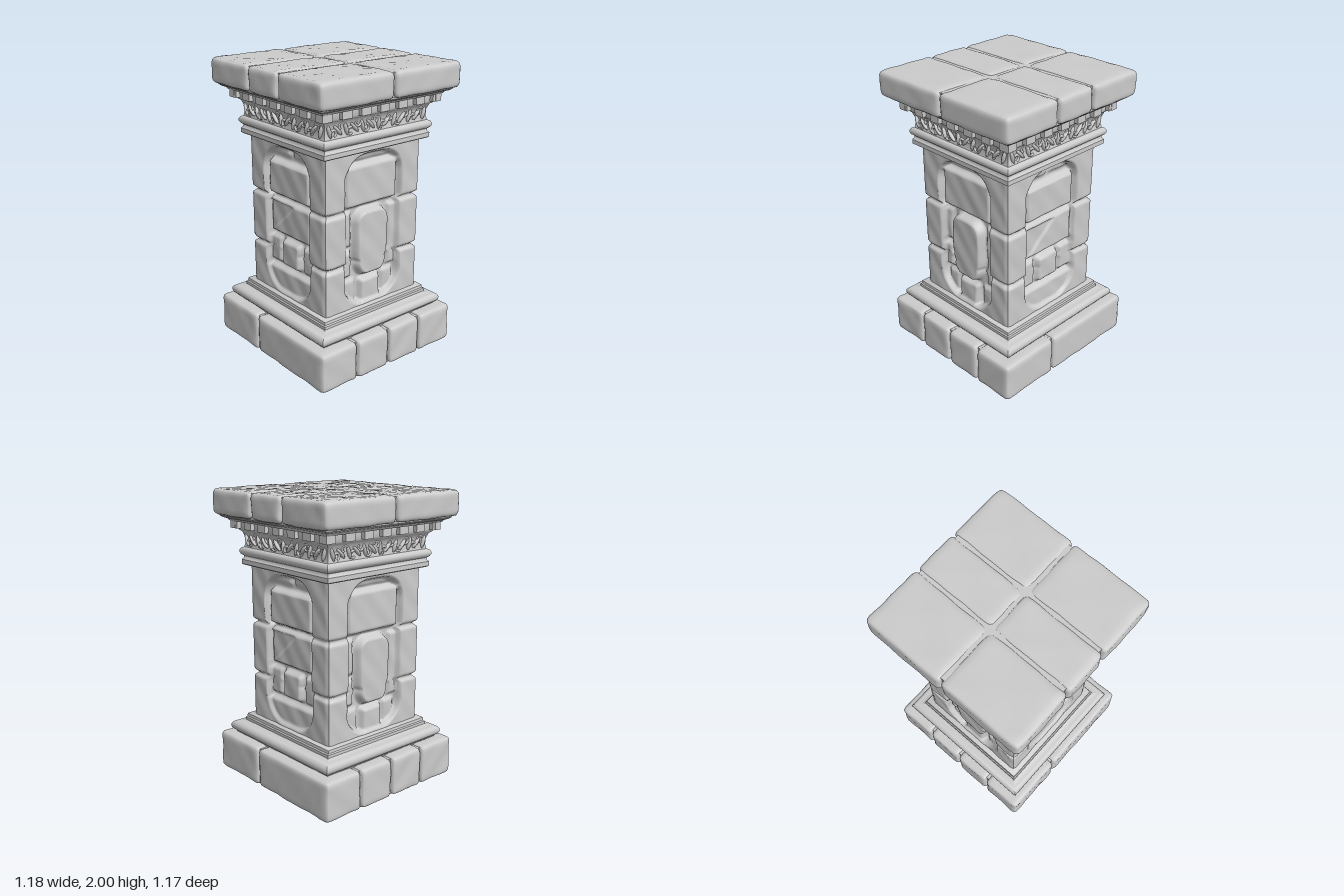
import * as THREE from 'three';
import { mergeVertices, toCreasedNormals } from 'three/addons/utils/BufferGeometryUtils.js';

const mat = new THREE.MeshStandardMaterial({ color: 0xcccccc });
const { smoothstep, clamp } = THREE.MathUtils;

function add(parent, geo, name) {
  const mesh = new THREE.Mesh(geo, mat);
  mesh.name = name;
  parent.add(mesh);
  return mesh;
}

// Gentle undulation that makes surfaces look worn
const wear = (x, y, z) =>
  Math.sin(x * 17 + y * 9 + 1) * Math.sin(z * 15 - y * 13 + 2) * 0.6 +
  Math.sin(x * 37 - z * 29 + y * 31) * 0.4;

// Rounded, worn stone block between two corners
function stoneBlock(x0, x1, y0, y1, z0, z1, r) {
  const n = 12, gap = 0.004;
  const half = [(x1 - x0) / 2 - gap, (y1 - y0) / 2, (z1 - z0) / 2 - gap];
  const mid = [(x0 + x1) / 2, (y0 + y1) / 2, (z0 + z1) / 2];
  let geo = new THREE.BoxGeometry(2, 2, 2, n, n, n);
  geo.deleteAttribute('normal');
  geo.deleteAttribute('uv');
  geo = mergeVertices(geo);
  const pos = geo.attributes.position, p = new THREE.Vector3(), core = new THREE.Vector3();
  for (let i = 0; i < pos.count; i++) {
    p.fromBufferAttribute(pos, i);
    // crowd the grid towards the edges, then round them
    p.set(...p.toArray().map((v, k) => (v * 0.35 + Math.sin(v * Math.PI / 2) * 0.65) * half[k]));
    core.set(...p.toArray().map((v, k) => clamp(v, r - half[k], half[k] - r)));
    const dir = p.clone().sub(core).normalize();
    const w = wear(p.x + mid[0], p.y + mid[1], p.z + mid[2]) * 0.004;
    p.copy(core).addScaledVector(dir, r + Math.min(w, 0.002));
    pos.setXYZ(i, p.x + mid[0], p.y + mid[1], p.z + mid[2]);
  }
  geo.computeVertexNormals();
  return geo;
}

// Square moulding from a profile of [half width, height]
function moulding(profile) {
  const pts = profile.map(([w, y]) => new THREE.Vector2(w * Math.SQRT2, y));
  const geo = new THREE.LatheGeometry(pts, 4).rotateY(Math.PI / 4);
  return toCreasedNormals(geo, 0.7);
}

function roundedRect(x, y, [cx, cy, w, h, r]) {
  const qx = Math.abs(x - cx) - w + r, qy = Math.abs(y - cy) - h + r;
  return Math.hypot(Math.max(qx, 0), Math.max(qy, 0)) + Math.min(Math.max(qx, qy), 0) - r;
}

// Infill stones: centre x, centre y, half width, half height, corner radius, lift
const frontStones = [
  [-0.1, 1.43, 0.095, 0.04, 0.02, 0.02], [0.1, 1.43, 0.095, 0.04, 0.02, 0.02],
  [0, 1.235, 0.23, 0.13, 0.03, 0.045], [0, 0.965, 0.235, 0.132, 0.03, 0.04],
  [-0.18, 0.715, 0.068, 0.105, 0.03, 0.03], [0, 0.715, 0.108, 0.105, 0.04, 0.042],
  [0.185, 0.715, 0.07, 0.105, 0.03, 0.03], [0, 0.5, 0.26, 0.1, 0.04, 0.038],
];
const sideStones = [
  [0, 1.44, 0.18, 0.035, 0.02, 0.018], [0, 1.25, 0.235, 0.15, 0.03, 0.042],
  [0, 0.85, 0.15, 0.24, 0.09, 0.06], [-0.2, 0.96, 0.05, 0.13, 0.02, 0.025],
  [-0.2, 0.72, 0.045, 0.1, 0.02, 0.032], [0.2, 0.85, 0.045, 0.23, 0.02, 0.025],
  [0, 0.5, 0.1, 0.1, 0.03, 0.042], [-0.17, 0.52, 0.06, 0.09, 0.03, 0.02],
  [0.17, 0.52, 0.06, 0.09, 0.03, 0.02],
];

const HALF = 0.405;
const joint = (y) => [1.1, 0.73].reduce((s, j) => s + 0.026 * Math.exp(-(((y - j) / 0.014) ** 2)), 0);

// Depth of the shaft face: corner quoins framing an arched niche of stones
function faceDepth(x, y, stones) {
  const middle = smoothstep(y, 0.72, 0.76) * (1 - smoothstep(y, 1.08, 1.11));
  const niche = roundedRect(x, y, [0, 0.945, 0.245 - 0.012 * middle, 0.515, 0.17]);
  const frame = smoothstep(niche, -0.016, 0.008);
  let lift = 0;
  for (const s of stones) {
    const taper = s[5] > 0.05 ? 1 - 0.2 * smoothstep(Math.abs(y - 0.9), 0.08, 0.3) : 1;
    const d = roundedRect(x / taper, y, s);
    lift = Math.max(lift, s[5] * (1 - smoothstep(d, -0.028, 0.004)));
  }
  // slanted chip across the wide stone
  if (stones === frontStones && y > 0.86 && y < 1.07)
    lift -= 0.012 * smoothstep(y - 0.96 - (x + 0.06) * 0.85, -0.01, 0.03) * (1 - smoothstep(x, 0, 0.15));
  const edge = smoothstep(HALF - Math.abs(x), 0, 0.03);
  const worn = wear(x, y, 0.4) * 0.004 * edge;
  return frame * joint(y) + (1 - frame) * (0.062 - lift) + (1 - edge) * 0.006 + worn;
}

function shaftFace(stones) {
  const y0 = 0.39, y1 = 1.51;
  const geo = new THREE.PlaneGeometry(HALF * 2, y1 - y0, 90, 112).translate(0, (y0 + y1) / 2, 0);
  const pos = geo.attributes.position;
  for (let i = 0; i < pos.count; i++) {
    const x = pos.getX(i), y = pos.getY(i);
    const shrink = (HALF - joint(y) - 0.006) / HALF;
    pos.setXYZ(i, x * shrink, y, HALF - faceDepth(x, y, stones));
  }
  geo.computeVertexNormals();
  return geo;
}

export function createModel() {
  const model = new THREE.Group();

  // Base and cap are the same when turned by half a turn
  const X = 0.592, Z = 0.585;
  for (const turn of [0, Math.PI]) {
    const blocks = new THREE.Group();
    blocks.name = turn ? 'backBlocks' : 'frontBlocks';
    blocks.rotation.y = turn;
    model.add(blocks);
    for (const [a, b] of [[-X, -0.14], [-0.14, X]])
      for (const [c, d] of [[0, 0.28], [0.28, Z]])
        add(blocks, stoneBlock(a, b, 0, 0.275, c, d, 0.032), 'baseBlock');
    for (const [a, b] of [[-X, -0.155], [-0.155, 0.155], [0.155, X]])
      add(blocks, stoneBlock(a, b, 1.825, 2, 0, Z, 0.036), 'capBlock');
  }
  // Cores close the joints between the blocks
  add(model, new THREE.BoxGeometry(1.11, 0.258, 1.1).translate(0, 0.133, 0), 'baseCore');
  add(model, new THREE.BoxGeometry(1.11, 0.155, 1.1).translate(0, 1.911, 0), 'capCore');

  // Plinth: half-round roll and two steps
  const plinth = [[0, 0.25], [0.49, 0.25], [0.5, 0.28]];
  for (let i = 0; i <= 8; i++) {
    const a = -Math.PI / 2 + (i / 8) * Math.PI;
    plinth.push([0.49 + 0.037 * Math.cos(a), 0.319 + 0.037 * Math.sin(a)]);
  }
  plinth.push([0.455, 0.36], [0.45, 0.365], [0.45, 0.385], [0.442, 0.392], [0.44, 0.412], [0.435, 0.416], [0, 0.416]);
  add(model, moulding(plinth), 'plinthMoulding');

  // Shaft
  for (let i = 0; i < 4; i++) {
    const face = add(model, shaftFace(i % 2 ? sideStones : frontStones), i % 2 ? 'shaftSide' : 'shaftFront');
    face.rotation.y = i * Math.PI / 2;
  }

  // Neck mouldings, frieze and cornice
  add(model, moulding([
    [0, 1.488], [0.436, 1.488], [0.446, 1.495], [0.446, 1.525], [0.436, 1.535], [0.434, 1.55],
    [0.448, 1.56], [0.456, 1.575], [0.456, 1.59], [0.446, 1.605], [0.432, 1.61], [0.425, 1.64],
    [0.427, 1.68], [0.44, 1.715], [0.455, 1.725], [0.462, 1.74], [0.462, 1.785], [0.5, 1.787],
    [0.508, 1.8], [0.53, 1.808], [0.545, 1.82], [0.548, 1.84], [0, 1.84],
  ]), 'capitalMoulding');

  // Dentils and carved foliage on each side
  const dentil = new THREE.BoxGeometry(0.075, 0.048, 0.05);
  const leaf = new THREE.SphereGeometry(1, 8, 6).scale(0.013, 0.046, 0.018);
  const curl = new THREE.TorusGeometry(0.022, 0.009, 5, 9, 4.4);
  for (let side = 0; side < 4; side++) {
    const carving = new THREE.Group();
    carving.name = 'carvedSide';
    carving.rotation.y = side * Math.PI / 2;
    model.add(carving);
    for (let i = -3; i <= 3; i++)
      add(carving, dentil, 'dentil').position.set(i * 0.1525, 1.762, 0.467);
    for (let i = -6; i <= 6; i++) {
      const s = Math.sign(i), odd = Math.abs(i) % 2;
      const blade = add(carving, leaf, 'leaf');
      blade.position.set(i * 0.066, 1.662, 0.43);
      blade.rotation.z = -s * (odd ? 0.75 : 0.3);
      if (i === 6) continue;
      const scroll = add(carving, curl, 'leafCurl');
      scroll.position.set((i + 0.5) * 0.066, odd ? 1.685 : 1.645, 0.43);
      scroll.rotation.z = i * 1.3;
    }
  }
  return model;
}
